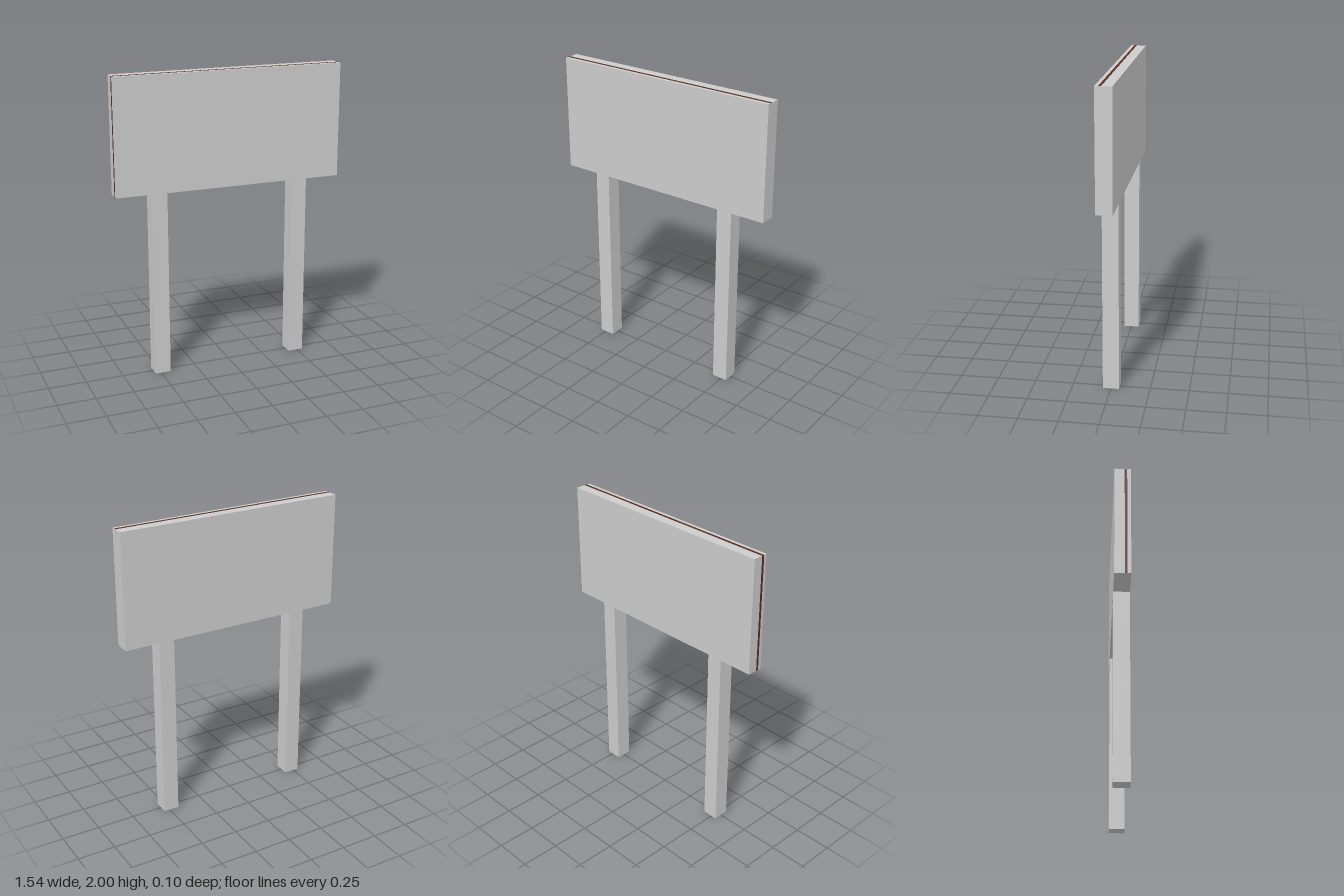
import * as THREE from 'three';

export function createModel() {
  const model = new THREE.Group();
  model.name = 'signboard';

  const grey = new THREE.MeshStandardMaterial({ name: 'light grey', color: 0xcccccc });
  const brown = new THREE.MeshStandardMaterial({ name: 'dark brown', color: 0x5a2d22 });

  // Box placed by its centre x, bottom y and centre z
  function addBox(name, material, width, height, depth, x, y, z) {
    const mesh = new THREE.Mesh(new THREE.BoxGeometry(width, height, depth), material);
    mesh.name = name;
    mesh.position.set(x, y + height / 2, z);
    model.add(mesh);
  }

  const boardWidth = 1.54, boardBottom = 1.24, boardHeight = 0.76, depth = 0.104;

  // Sign panel
  addBox('board', grey, boardWidth, boardHeight, depth, 0, boardBottom, 0);

  // Thin inlaid strips along the top edge and the right end
  addBox('topStrip', brown, boardWidth, 0.002, 0.016, 0, 1.999, 0.021);
  addBox('endStrip', brown, 0.002, boardHeight, 0.016, -boardWidth / 2, boardBottom, 0.021);

  // Square posts, flush with the board front and back
  for (const [name, side] of [['leftPost', 1], ['rightPost', -1]]) {
    addBox(name, grey, 0.104, boardBottom, depth, side * 0.487, 0, 0);
  }

  return model;
}
